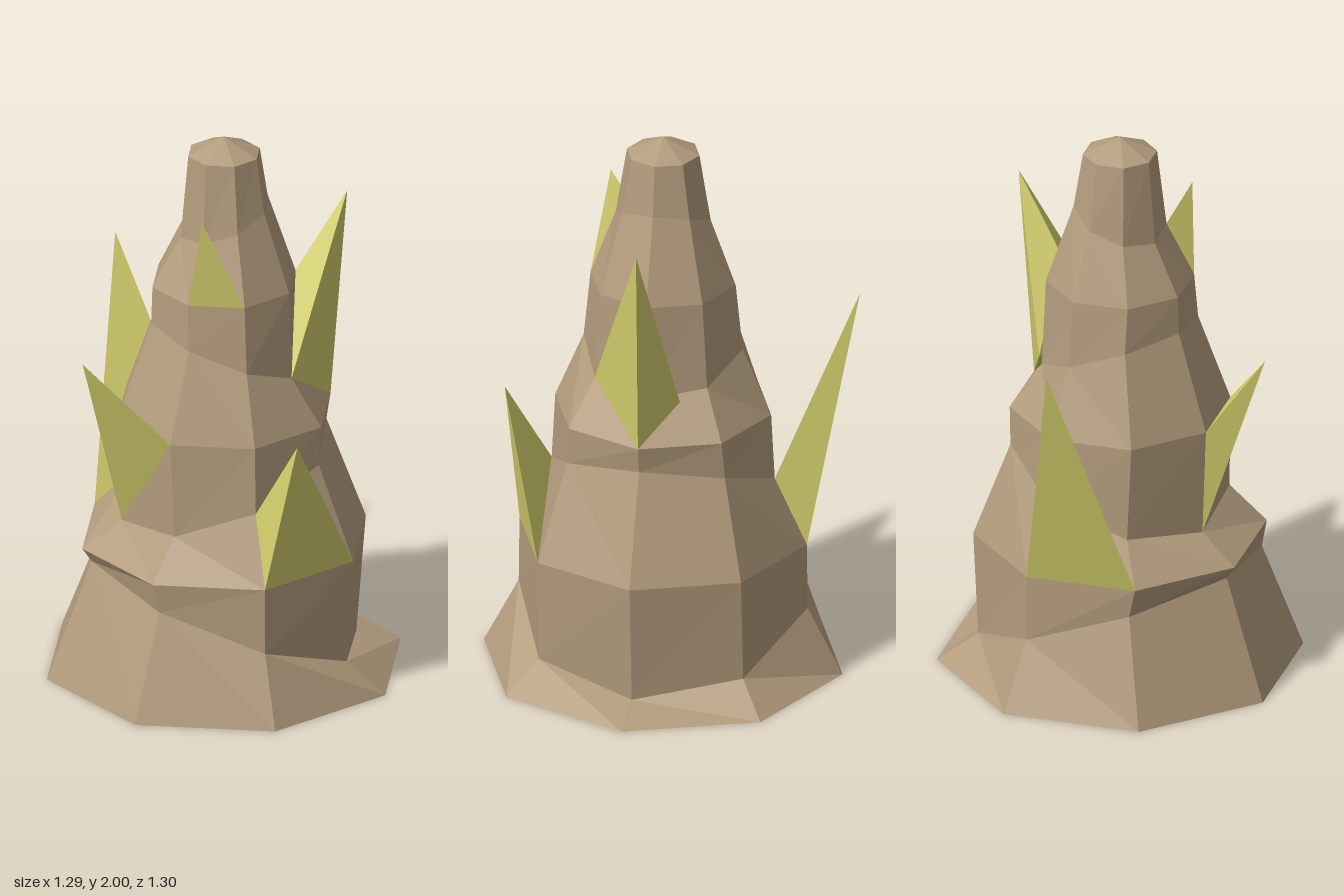
import * as THREE from 'three';
import { ConvexGeometry } from 'three/addons/geometries/ConvexGeometry.js';

const SIDES = 8, OFFSET_Z = 0.008, TILT = 0.38;

// Rings from the ground up: [radius, height, tilt about z]
const RINGS = [
  [0, 0, 0], [0.643, 0, 0],
  [0.518, 0.242, -TILT], [0.515, 0.485, 0],
  [0.4, 0.727, TILT], [0.387, 0.97, 0],
  [0.285, 1.212, -TILT], [0.26, 1.455, 0],
  [0.17, 1.697, TILT], [0.13, 1.94, 0],
  [0, 2, 0],
];

// Corner of a ring; side 0 faces the front, counting towards +x
function corner(ring, side) {
  const [r, y, tilt] = RINGS[ring];
  const a = (side / SIDES) * Math.PI * 2;
  const x = r * Math.sin(a);
  return new THREE.Vector3(x * Math.cos(tilt), y + x * Math.sin(tilt), r * Math.cos(a) + OFFSET_Z);
}

// Faceted trunk: neighbouring rings joined by triangles
function trunkGeometry() {
  const points = [];
  for (let k = 0; k < RINGS.length - 1; k++) {
    for (let i = 0; i < SIDES; i++) {
      const bl = corner(k, i), br = corner(k, i + 1);
      const tl = corner(k + 1, i), tr = corner(k + 1, i + 1);
      if (RINGS[k][0] === 0) points.push(bl, tr, tl);
      else if (RINGS[k + 1][0] === 0) points.push(bl, br, tl);
      else if (k % 2) points.push(bl, br, tl, br, tr, tl);
      else points.push(bl, br, tr, bl, tr, tl);
    }
  }
  const geometry = new THREE.BufferGeometry().setFromPoints(points);
  geometry.computeVertexNormals();
  return geometry;
}

export function createModel() {
  const group = new THREE.Group();
  const rock = new THREE.MeshStandardMaterial({ color: 0xb39c7d, flatShading: true });
  const crystal = new THREE.MeshStandardMaterial({ color: 0xd2cd6c, flatShading: true });

  const trunk = new THREE.Mesh(trunkGeometry(), rock);
  trunk.name = 'trunk';
  group.add(trunk);

  // Each spike grows from a few trunk corners to one tip
  const v = (x, y, z) => new THREE.Vector3(x, y, z);
  const spikes = {
    frontSpike: [v(0.11, 1.03, 0.55), corner(3, 0), corner(3, 1), corner(4, 0)],
    backSpike: [v(-0.205, 1.375, -0.65), corner(3, 4), corner(3, 5), corner(4, 4)],
    rightSpike: [v(-0.55, 1.25, 0.135), corner(4, 6), corner(5, 6), corner(5, 7)],
    leftSpike: [v(0.45, 1.735, 0), corner(5, 2), corner(6, 1), corner(7, 2), v(0.265, 1.11, -0.114)],
    upperSpike: [v(-0.145, 1.785, 0.23), corner(7, 7), corner(7, 0), corner(8, 7)],
  };
  for (const [name, points] of Object.entries(spikes)) {
    const spike = new THREE.Mesh(new ConvexGeometry(points), crystal);
    spike.name = name;
    group.add(spike);
  }
  return group;
}
